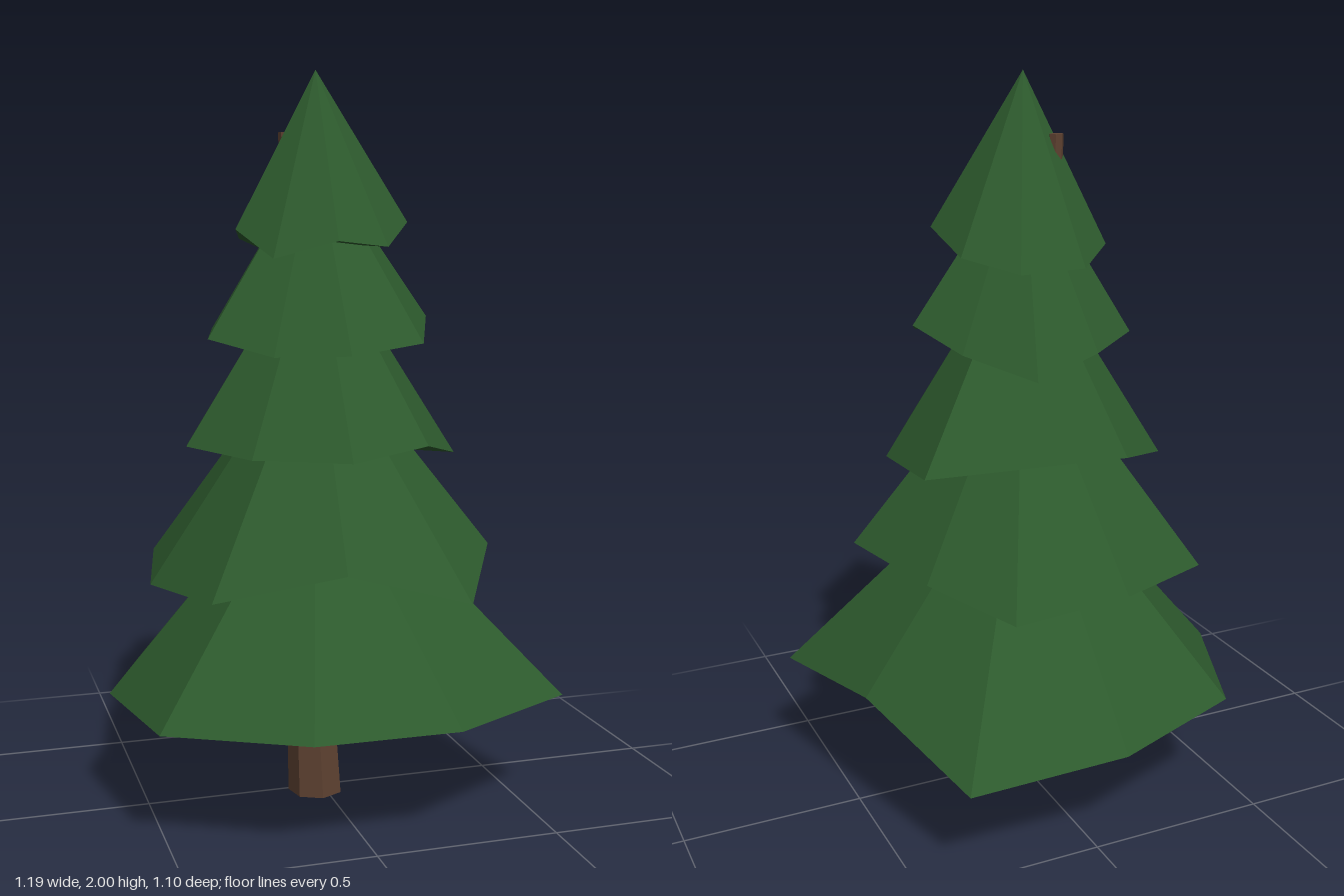
import * as THREE from 'three';

// Each tier: apex height and rim points [x, y, z], running anticlockwise seen from above.
const tiers = [
  { top: 1.0, rim: [
    [0.38, 0.265, -0.53], [-0.06, 0.285, -0.55], [-0.445, 0.305, -0.42], [-0.597, 0.315, -0.04], [-0.53, 0.325, 0.36],
    [-0.18, 0.325, 0.545], [0.21, 0.325, 0.548], [0.593, 0.315, 0.328], [0.505, 0.37, -0.105]] },
  { top: 1.32, rim: [
    [0.2, 0.65, -0.415], [-0.13, 0.67, -0.41], [-0.427, 0.66, -0.28], [-0.494, 0.637, 0.05], [-0.395, 0.655, 0.37],
    [-0.075, 0.73, 0.482], [0.265, 0.63, 0.467], [0.437, 0.715, 0.158], [0.35, 0.7, -0.18]] },
  { top: 1.58, rim: [
    [-0.143, 1.04, -0.362], [-0.34, 0.98, -0.186], [-0.395, 1.01, 0.07], [-0.27, 1.0, 0.29],
    [-0.04, 1.0, 0.416], [0.2, 1.02, 0.31], [0.347, 0.97, 0.12], [0.347, 0.99, -0.17]] },
  { top: 1.79, rim: [
    [0.067, 1.24, -0.263], [-0.125, 1.29, -0.225], [-0.283, 1.31, -0.11], [-0.338, 1.295, 0.09], [-0.197, 1.255, 0.237],
    [-0.013, 1.26, 0.317], [0.2, 1.285, 0.265], [0.283, 1.345, 0.06], [0.207, 1.29, -0.1]] },
  { top: 2.0, rim: [
    [0.09, 1.51, -0.208], [-0.09, 1.515, -0.215], [-0.204, 1.555, -0.11], [-0.25, 1.58, 0.043], [-0.185, 1.505, 0.19],
    [-0.02, 1.55, 0.225], [0.118, 1.535, 0.215], [0.217, 1.6, 0.085], [0.207, 1.545, -0.097]] },
];

// Closed, faceted cone over an uneven rim.
function tierGeometry({ top, rim }) {
  const apex = [-0.023, top, 0.022];
  const centre = [0, 1, 2].map((k) => rim.reduce((sum, p) => sum + p[k], 0) / rim.length);
  const positions = [];
  rim.forEach((p, i) => {
    const next = rim[(i + 1) % rim.length];
    positions.push(...p, ...next, ...apex, ...next, ...p, ...centre);
  });
  const geometry = new THREE.BufferGeometry();
  geometry.setAttribute('position', new THREE.Float32BufferAttribute(positions, 3));
  geometry.computeVertexNormals();
  return geometry;
}

// Tapered trunk, leaning so that its thin tip pokes out near the treetop.
function trunkGeometry() {
  const height = 1.84;
  const geometry = new THREE.CylinderGeometry(0.02, 0.077, height, 7).translate(0, height / 2, 0);
  const pos = geometry.attributes.position;
  for (let i = 0; i < pos.count; i++) {
    const t = pos.getY(i) / height;
    pos.setX(i, pos.getX(i) - 0.025 - 0.064 * t);
    pos.setZ(i, pos.getZ(i) + 0.025 - 0.066 * t);
  }
  const flat = geometry.toNonIndexed();
  flat.computeVertexNormals();
  return flat;
}

export function createModel() {
  const group = new THREE.Group();
  group.name = 'pineTree';

  const needles = new THREE.MeshStandardMaterial({ color: 0x2d5a2d });
  needles.name = 'needle green';
  const bark = new THREE.MeshStandardMaterial({ color: 0x5c4030 });
  bark.name = 'bark brown';

  const trunk = new THREE.Mesh(trunkGeometry(), bark);
  trunk.name = 'trunk';
  group.add(trunk);

  tiers.forEach((tier, i) => {
    const mesh = new THREE.Mesh(tierGeometry(tier), needles);
    mesh.name = `foliageTier${i + 1}`;
    group.add(mesh);
  });
  return group;
}
